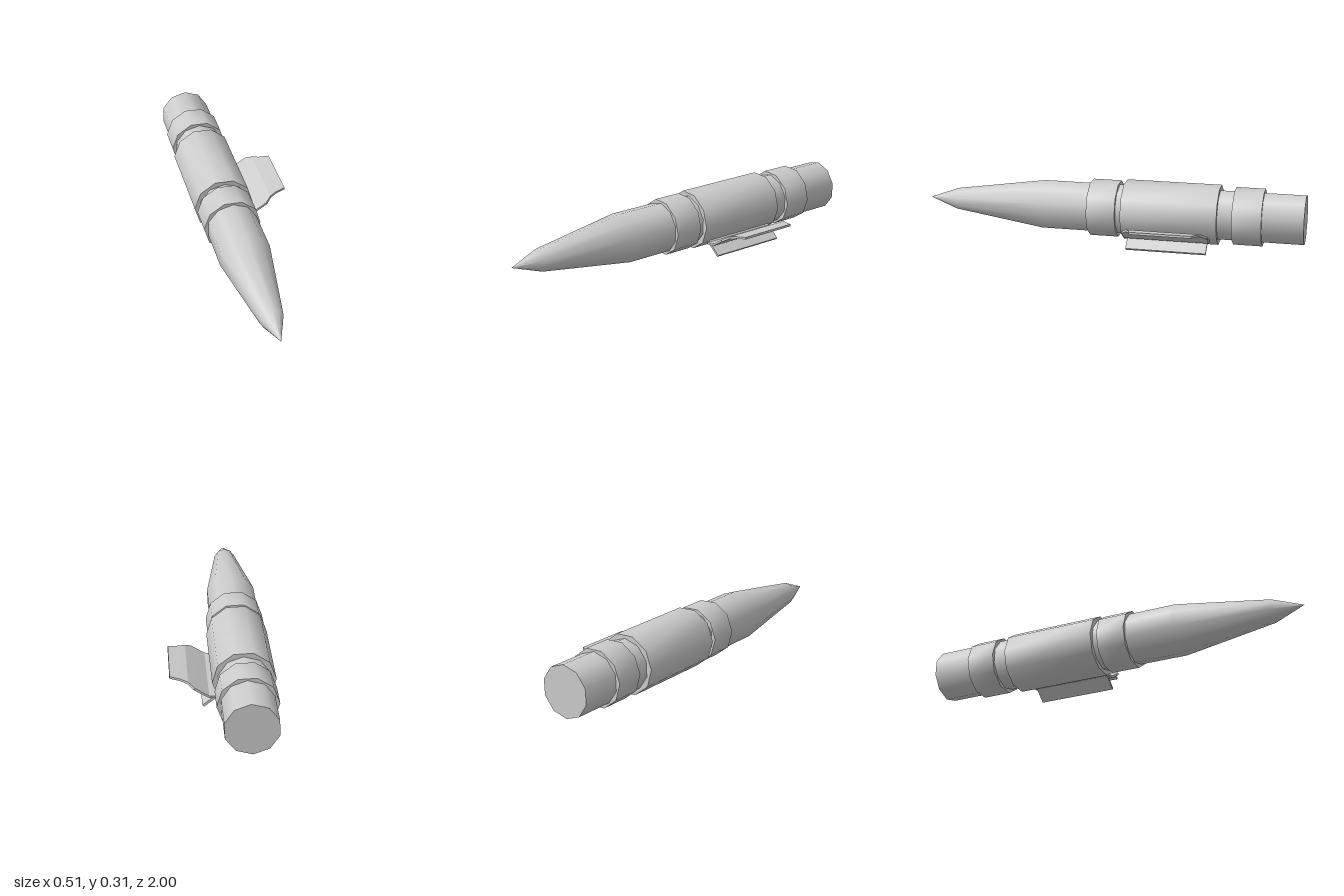
import * as THREE from 'three';
import { toCreasedNormals } from 'three/addons/utils/BufferGeometryUtils.js';

const SIDES = 10;
const AXIS = { x: -0.101, y: 0.161 };
const material = new THREE.MeshStandardMaterial({ color: 0xcccccc });

function addMesh(group, name, geometry, crease) {
  const mesh = new THREE.Mesh(toCreasedNormals(geometry, crease), material);
  mesh.name = name;
  group.add(mesh);
  return mesh;
}

// Ten-sided turned part along z; profile is [radius, z] from back to front,
// cornerAngle is the direction of one corner seen from the front, in degrees
function addTurned(group, name, profile, cornerAngle) {
  const points = profile.map(([r, z]) => new THREE.Vector2(r, z));
  const geometry = new THREE.LatheGeometry(points, SIDES, THREE.MathUtils.degToRad(cornerAngle + 90));
  geometry.rotateX(Math.PI / 2);
  addMesh(group, name, geometry, 0.7).position.set(AXIS.x, AXIS.y, 0);
}

// Thin bent plate: stations are [x, y, half length along z]
function addPlate(group, name, stations, thickness, zCentre) {
  const n = stations.length - 1;
  const geometry = new THREE.BoxGeometry(1, 1, 1, n, 1, 1);
  const p = geometry.attributes.position;
  for (let v = 0; v < p.count; v++) {
    const i = Math.round((p.getX(v) + 0.5) * n);
    const [x, y, half] = stations[i];
    const a = stations[Math.max(i - 1, 0)];
    const b = stations[Math.min(i + 1, n)];
    const dx = b[0] - a[0], dy = b[1] - a[1], len = Math.hypot(dx, dy);
    const offset = p.getY(v) * thickness;
    p.setXYZ(v, x - (dy / len) * offset, y + (dx / len) * offset, zCentre + 2 * p.getZ(v) * half);
  }
  addMesh(group, name, geometry, 0.35);
}

export function createModel() {
  const model = new THREE.Group();
  model.name = 'pen';

  // Barrel with tapered nose and pointed tip
  addTurned(model, 'barrel', [[0, -1], [0.131, -1], [0.131, 0.36], [0.058, 0.845], [0, 1]], 15.4);

  // Raised collars and the longer grip sleeve
  const bands = [
    ['rearCollar', 0.147, -0.79, -0.64],
    ['sleeve', 0.154, -0.565, -0.07],
    ['frontCollar', 0.147, -0.04, 0.11],
  ];
  for (const [name, r, back, front] of bands) {
    addTurned(model, name, [[0, back], [r, back], [r, front], [0, front]], -2.2);
  }

  // Bent clip with hollowed outer corners
  addPlate(model, 'clip', [
    [0.022, 0.058, 0.217], [0.067, 0.061, 0.217], [0.137, 0.106, 0.217],
    [0.167, 0.125, 0.19], [0.2, 0.131, 0.17], [0.253, 0.139, 0.155],
  ], 0.011, -0.317);

  // Lower flap under the clip
  addPlate(model, 'flap', [[0.016, 0.067, 0.206], [0.094, 0.005, 0.206]], 0.012, -0.317);

  return model;
}
